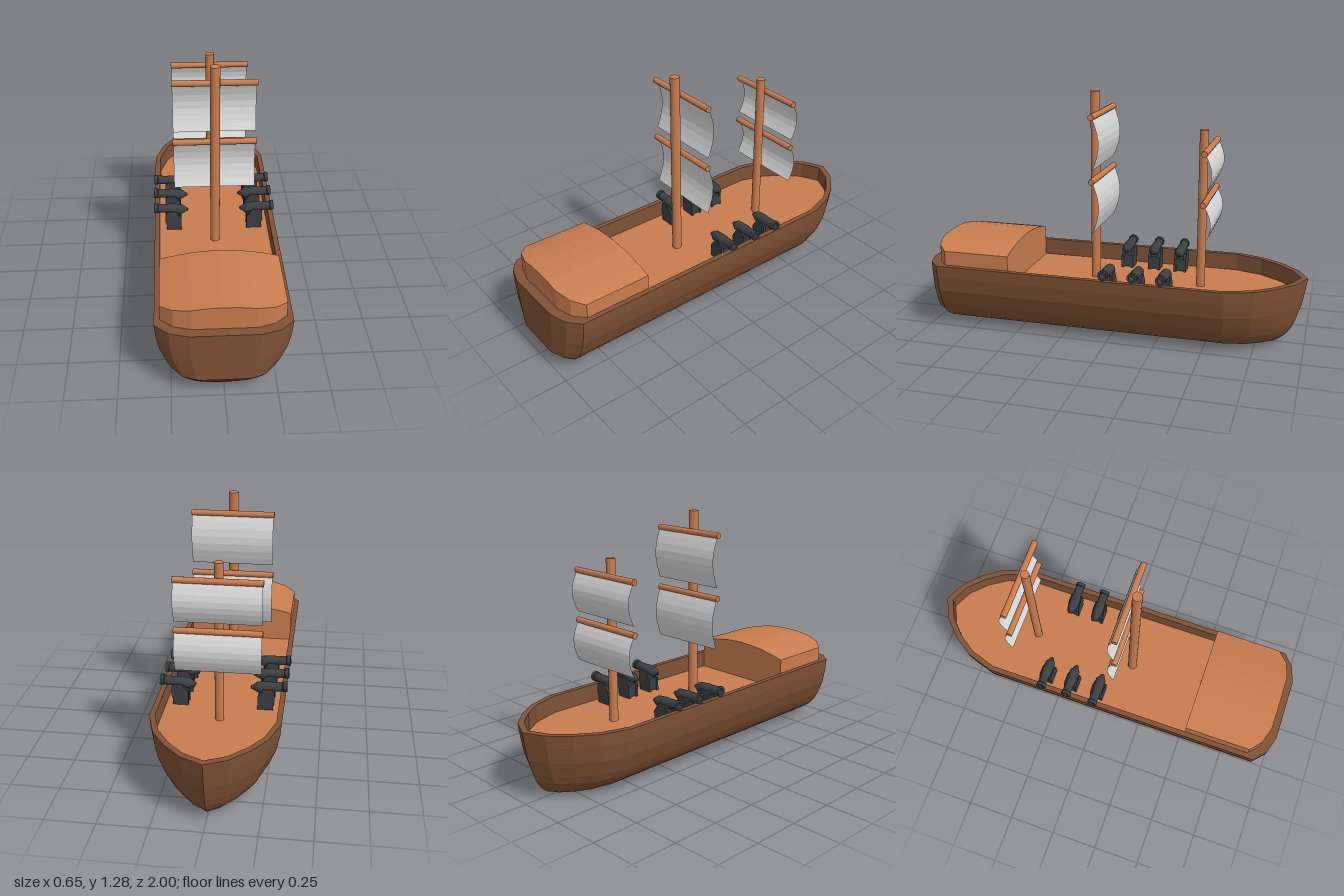
import * as THREE from 'three';

const mat = (name, color) => Object.assign(new THREE.MeshStandardMaterial({ color }), { name });

// Plan outline of the hull: half-width w, bow tip zb, stern end zs, shoulder positions
function ring(w, zb, zs, shoulderBow = -0.61, shoulderStern = 0.915) {
  const bow = f => shoulderBow + (zb - shoulderBow) * f;
  const stern = f => shoulderStern + (zs - shoulderStern) * f;
  const half = [[0, bow(1)], [0.34, bow(0.87)], [0.63, bow(0.64)], [0.85, bow(0.38)], [1, bow(0)],
    [1, stern(0)], [0.8, stern(0.68)], [0.51, stern(1)]].map(([f, z]) => [f * w, z]);
  return half.concat(half.slice(1).reverse().map(([x, z]) => [-x, z]));
}

// Faceted geometry from quads of four corners, counter-clockwise from outside
function quads(list) {
  const pos = [];
  for (const [a, b, c, d] of list) pos.push(...a, ...b, ...c, ...a, ...c, ...d);
  const g = new THREE.BufferGeometry();
  g.setAttribute('position', new THREE.Float32BufferAttribute(pos, 3));
  g.computeVertexNormals();
  return g;
}

export function createModel() {
  const model = new THREE.Group();
  model.name = 'sailingShip';
  const hullWood = mat('darkHullWood', 0x805236);
  const wood = mat('warmWood', 0xc97d4f);
  const iron = mat('gunIron', 0x3c4043);
  const cloth = mat('sailCloth', 0xdcdcdc);
  cloth.side = THREE.DoubleSide;

  const add = (parent, name, geo, material, x = 0, y = 0, z = 0) => {
    const m = new THREE.Mesh(geo, material);
    m.name = name;
    m.position.set(x, y, z);
    parent.add(m);
    return m;
  };

  // Hull: levels from keel up the outside, over the rail and down to the deck
  const deckY = 0.275;
  const inner = ring(0.293, -0.965, 0.952, -0.6, 0.875);
  const levels = [
    [0.003, ring(0, -0.78, 0.918)],
    [0.014, ring(0.1, -0.83, 0.925)],
    [0.03, ring(0.16, -0.88, 0.94)],
    [0.06, ring(0.205, -0.91, 0.965)],
    [0.1, ring(0.242, -0.935, 1)],
    [0.14, ring(0.265, -0.95, 1)],
    [0.22, ring(0.298, -0.975, 1)],
    [0.3, ring(0.314, -0.99, 1)],
    [0.365, ring(0.32, -1, 1)],
    [0.365, inner],
    [deckY - 0.01, inner],
  ];
  const hull = [];
  for (let l = 0; l < levels.length - 1; l++) {
    const [y0, r0] = levels[l], [y1, r1] = levels[l + 1];
    for (let i = 0; i < r0.length; i++) {
      const j = (i + 1) % r0.length;
      const p = (r, y, k) => [r[k][0], y, r[k][1]];
      hull.push([p(r0, y0, i), p(r1, y1, i), p(r1, y1, j), p(r0, y0, j)]);
    }
  }
  add(model, 'hull', quads(hull), hullWood);

  // Deck fills the inside of the rail
  const deckShape = new THREE.Shape(inner.map(([x, z]) => new THREE.Vector2(x, -z)));
  add(model, 'deck', new THREE.ShapeGeometry(deckShape).rotateX(-Math.PI / 2), wood, 0, deckY, 0);

  // Stern cabin with a cambered roof, following the rail at the back
  const columns = [[0, 0.952], [0.075, 0.952], [0.149, 0.952], [0.234, 0.927], [0.293, 0.875]];
  const across = columns.slice(1).reverse().map(([x, z]) => [-x, z]).concat(columns);
  const roof = x => 0.485 - 0.043 * (x / 0.293) ** 2;
  const front = 0.52, cabin = [];
  for (let i = 0; i < across.length - 1; i++) {
    const [x0, z0] = across[i], [x1, z1] = across[i + 1];
    cabin.push([[x0, roof(x0), z0], [x1, roof(x1), z1], [x1, roof(x1), front], [x0, roof(x0), front]]);
    cabin.push([[x0, deckY, z0], [x1, deckY, z1], [x1, roof(x1), z1], [x0, roof(x0), z0]]);
    cabin.push([[x1, deckY, front], [x0, deckY, front], [x0, roof(x0), front], [x1, roof(x1), front]]);
  }
  const e = 0.293, t = roof(e);
  cabin.push([[e, deckY, 0.875], [e, deckY, front], [e, t, front], [e, t, 0.875]]);
  cabin.push([[-e, deckY, front], [-e, deckY, 0.875], [-e, t, 0.875], [-e, t, front]]);
  add(model, 'sternCabin', quads(cabin), wood);

  // Masts, each with two yards and billowing sails
  function addMast(name, z, r, top, yards, drop) {
    const g = new THREE.Group();
    g.name = name;
    g.position.z = z;
    const h = top - deckY;
    add(g, 'mastPole', new THREE.CylinderGeometry(r, r, h, 16), wood, 0, deckY + h / 2, 0);
    for (const y of yards) {
      const yard = new THREE.CylinderGeometry(0.016, 0.016, 0.428, 12).rotateZ(Math.PI / 2);
      add(g, 'yard', yard, wood, 0, y, -0.038);
      const sail = new THREE.PlaneGeometry(0.422, drop, 1, 7);
      const p = sail.attributes.position;
      for (let i = 0; i < p.count; i++) {
        p.setZ(i, -0.034 * Math.sin(Math.PI * (0.5 - p.getY(i) / drop)));
      }
      const flat = sail.toNonIndexed();
      flat.computeVertexNormals();
      add(g, 'sail', flat, cloth, 0, y - drop / 2, -0.042);
    }
    model.add(g);
  }
  addMast('mainMast', 0.123, 0.025, 1.28, [1.175, 0.848], 0.27);
  addMast('foreMast', -0.448, 0.023, 1.105, [1.022, 0.766], 0.21);

  // Cannons: hollow-mouthed barrel on a stepped carriage
  const barrelProfile = [[0, -0.098], [0.009, -0.092], [0.012, -0.084], [0.027, -0.06], [0.028, 0],
    [0.024, 0.02], [0.023, 0.068], [0.027, 0.072], [0.027, 0.09], [0.016, 0.09], [0.015, 0.04], [0, 0.04]]
    .map(([r, y]) => new THREE.Vector2(r, y));
  const barrel = new THREE.LatheGeometry(barrelProfile, 12).toNonIndexed();
  barrel.computeVertexNormals();
  const cheekShape = new THREE.Shape([[-0.045, 0], [0.035, 0], [0.035, 0.03], [0.042, 0.05], [0.04, 0.1],
    [0.025, 0.115], [-0.015, 0.115], [-0.03, 0.09], [-0.045, 0.07]].map(([x, y]) => new THREE.Vector2(x, y)));
  const cheek = new THREE.ExtrudeGeometry(cheekShape, { depth: 0.014, bevelEnabled: false });
  for (const side of [1, -1]) {
    for (const z of [-0.004, -0.156, -0.301]) {
      const cannon = new THREE.Group();
      cannon.name = side > 0 ? 'leftCannon' : 'rightCannon';
      cannon.position.set(side * 0.222, deckY, z);
      cannon.rotation.y = side > 0 ? 0 : Math.PI;
      add(cannon, 'barrel', barrel, iron, 0.013, 0.116, 0).rotation.z = -Math.PI / 2 + 0.08;
      add(cannon, 'carriageCheek', cheek, iron, 0, 0, 0.019);
      add(cannon, 'carriageCheek', cheek, iron, 0, 0, -0.033);
      add(cannon, 'carriageBed', new THREE.BoxGeometry(0.076, 0.07, 0.04), iron, -0.004, 0.04, 0);
      model.add(cannon);
    }
  }
  return model;
}
